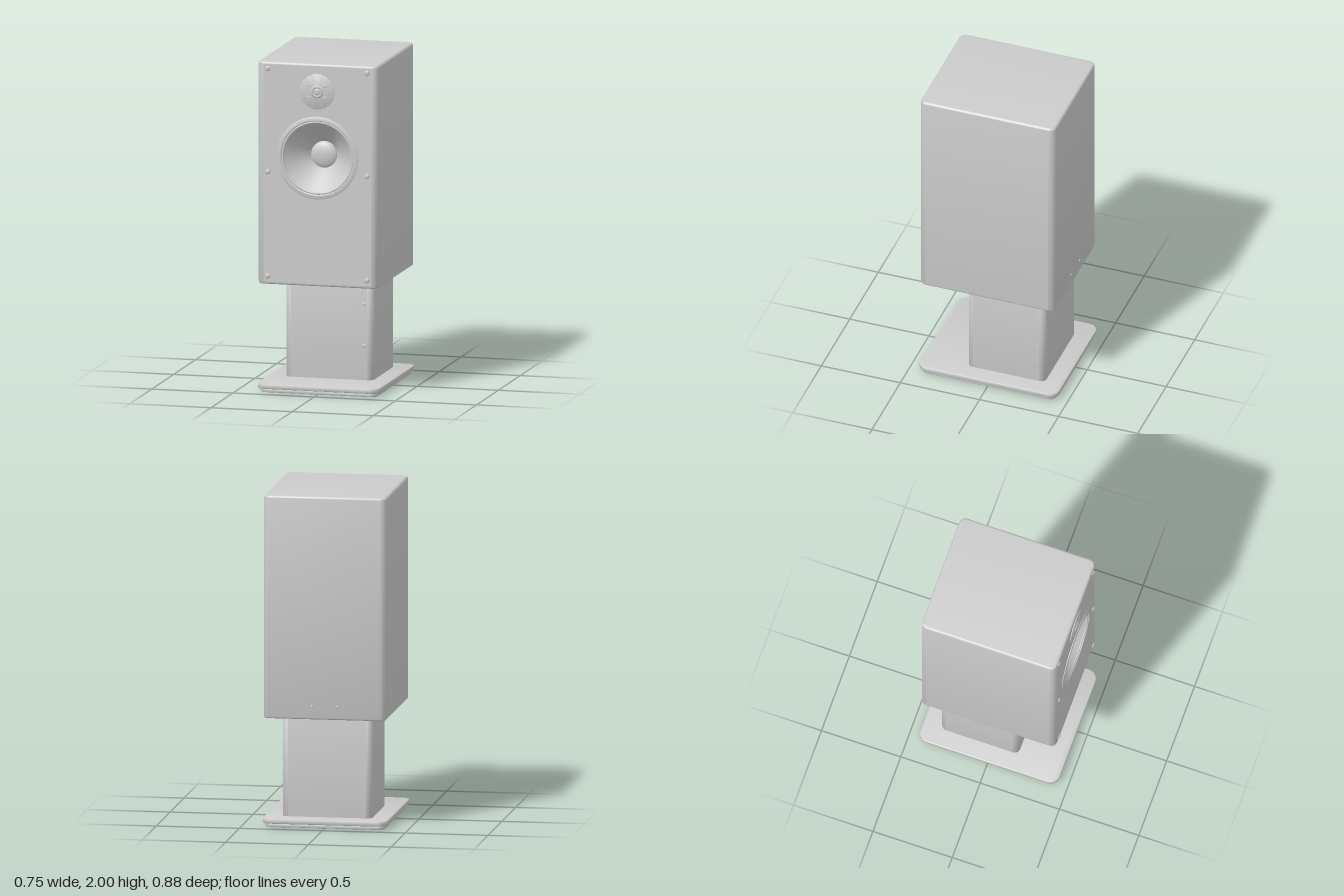
import * as THREE from 'three';
import { toCreasedNormals } from 'three/addons/utils/BufferGeometryUtils.js';

const grey = new THREE.MeshStandardMaterial({ color: 0xcccccc });
const greyDouble = new THREE.MeshStandardMaterial({ color: 0xcccccc, side: THREE.DoubleSide });
const FRONT = 0.428; // front plane of the cabinet
const WOOFER_Y = 1.432, TWEETER_Y = 1.833;

function add(parent, name, geometry, material = grey) {
  const mesh = new THREE.Mesh(geometry, material);
  mesh.name = name;
  parent.add(mesh);
  return mesh;
}

function roundedRect(w, d, r) {
  const s = new THREE.Shape(), x = w / 2, y = d / 2;
  s.absarc(x - r, y - r, r, 0, Math.PI / 2);
  s.absarc(-x + r, y - r, r, Math.PI / 2, Math.PI);
  s.absarc(-x + r, -y + r, r, Math.PI, Math.PI * 1.5);
  s.absarc(x - r, -y + r, r, Math.PI * 1.5, Math.PI * 2);
  s.closePath();
  return s;
}

// Upright block with rounded vertical corners (r) and softened ends (b)
function block(w, d, y0, y1, zc, r, b) {
  const g = new THREE.ExtrudeGeometry(roundedRect(w - 2 * b, d - 2 * b, r - b), {
    depth: y1 - y0 - 2 * b, bevelEnabled: true, bevelSize: b, bevelThickness: b,
    bevelSegments: 4, curveSegments: 8,
  });
  g.rotateX(-Math.PI / 2).translate(0, y0 + b, zc);
  return toCreasedNormals(g, 0.6);
}

// Drop the flat front panel so that a pierced one can take its place
function withoutFront(g, z) {
  const p = g.attributes.position, n = g.attributes.normal, pos = [], nor = [];
  for (let i = 0; i < p.count; i += 3) {
    if ([0, 1, 2].every((k) => p.getZ(i + k) > z - 1e-4)) continue;
    for (let k = i; k < i + 3; k++) {
      pos.push(p.getX(k), p.getY(k), p.getZ(k));
      nor.push(n.getX(k), n.getY(k), n.getZ(k));
    }
  }
  const out = new THREE.BufferGeometry();
  out.setAttribute('position', new THREE.Float32BufferAttribute(pos, 3));
  out.setAttribute('normal', new THREE.Float32BufferAttribute(nor, 3));
  return out;
}

// Turned part facing +z; profile is [radius, z] from the centre outwards
function turned(profile, segments = 64) {
  const pts = profile.map(([r, z]) => new THREE.Vector2(r, z)).reverse();
  const g = new THREE.LatheGeometry(pts, segments).rotateX(Math.PI / 2);
  return toCreasedNormals(g, 0.5);
}

// Shallow domed screw head facing +z
function stud(r, h) {
  const profile = [];
  for (let i = 0; i <= 5; i++) {
    const a = (i / 5) * Math.PI / 2;
    profile.push([r * Math.sin(a), h * Math.cos(a)]);
  }
  return turned(profile, 16);
}

function makeCabinet() {
  const g = new THREE.Group();
  g.name = 'cabinet';
  const y0 = 0.655, y1 = 2, w = 0.74, r = 0.04, b = 0.014;
  add(g, 'cabinetShell', withoutFront(block(w, 0.853, y0, y1, FRONT - 0.4265, r, b), FRONT));

  // Front panel with the woofer opening
  const x = w / 2 - r;
  const panel = new THREE.Shape([[-x, y0 + b], [x, y0 + b], [x, y1 - b], [-x, y1 - b]]
    .map((c) => new THREE.Vector2(...c)));
  panel.holes.push(new THREE.Path().absarc(0, WOOFER_Y, 0.23, 0, Math.PI * 2, true));
  add(g, 'frontPanel', new THREE.ShapeGeometry(panel, 32)).position.z = FRONT;

  for (const sx of [-0.305, 0.305]) {
    for (const y of [0.705, 1.335, 1.96]) {
      add(g, 'panelScrew', stud(0.016, 0.01)).position.set(sx, y, FRONT);
    }
  }
  for (const sx of [-0.075, 0.075]) {
    const pin = add(g, 'rearTerminal', stud(0.008, 0.006));
    pin.position.set(sx, 0.735, FRONT - 0.853);
    pin.rotation.y = Math.PI;
  }
  return g;
}

function makeWoofer() {
  const g = new THREE.Group();
  g.name = 'woofer';
  g.position.set(0, WOOFER_Y, FRONT);
  add(g, 'wooferFrame', turned([
    [0.222, -0.02], [0.222, 0.004], [0.226, 0.007], [0.244, 0.007], [0.25, 0.004], [0.25, -0.001],
  ]), greyDouble);

  // Half-roll surround
  const roll = [];
  for (let i = 0; i <= 8; i++) {
    const a = (i / 8) * Math.PI;
    roll.push([0.216 - 0.009 * Math.cos(a), -0.008 + 0.01 * Math.sin(a)]);
  }
  add(g, 'surround', turned(roll), greyDouble);

  // Slightly flared cone
  const cone = [];
  for (let i = 0; i <= 8; i++) {
    const t = i / 8;
    cone.push([0.075 + 0.134 * t, -0.165 + 0.157 * Math.pow(t, 0.92)]);
  }
  add(g, 'cone', turned(cone), greyDouble);
  add(g, 'dustCap', stud(0.082, 0.03).scale(1, 1, 1), greyDouble).position.set(0, -0.008, -0.16);
  return g;
}

function makeTweeter() {
  const g = new THREE.Group();
  g.name = 'tweeter';
  g.position.set(0, TWEETER_Y, FRONT);
  add(g, 'tweeterPlate', turned([[0, 0.006], [0.103, 0.006], [0.107, 0.004], [0.107, -0.001]]));
  add(g, 'domeRing', turned([
    [0.022, 0.006], [0.026, 0.011], [0.033, 0.011], [0.038, 0.006],
  ], 40), greyDouble);
  add(g, 'dome', stud(0.022, 0.007)).position.z = 0.005;
  for (const x of [-0.049, 0.049]) {
    for (const y of [-0.036, 0.036]) {
      add(g, 'tweeterScrew', stud(0.01, 0.004)).position.set(x, y, 0.006);
    }
  }
  return g;
}

function makeStand() {
  const g = new THREE.Group();
  g.name = 'stand';
  add(g, 'column', block(0.54, 0.49, 0.045, 0.66, -0.085, 0.035, 0.002));
  add(g, 'basePlate', block(0.754, 0.88, 0.022, 0.052, 0, 0.06, 0.006));
  add(g, 'basePlinth', block(0.72, 0.846, 0, 0.024, 0, 0.045, 0.004));

  // Small studs on the column's front and side
  const front = [[-0.215, 0.625], [-0.05, 0.625], [0.145, 0.625], [0.18, 0.625], [0.215, 0.625],
    [0.215, 0.51], [0.215, 0.26]];
  for (const [x, y] of front) add(g, 'columnStud', stud(0.011, 0.006)).position.set(x, y, 0.16);
  for (const y of [0.2, 0.3, 0.4, 0.5]) {
    const s = add(g, 'sideStud', stud(0.007, 0.004));
    s.position.set(0.27, y, -0.285);
    s.rotation.y = Math.PI / 2;
  }
  return g;
}

export function createModel() {
  const model = new THREE.Group();
  model.name = 'loudspeakerOnStand';
  model.add(makeStand(), makeCabinet(), makeWoofer(), makeTweeter());
  return model;
}
